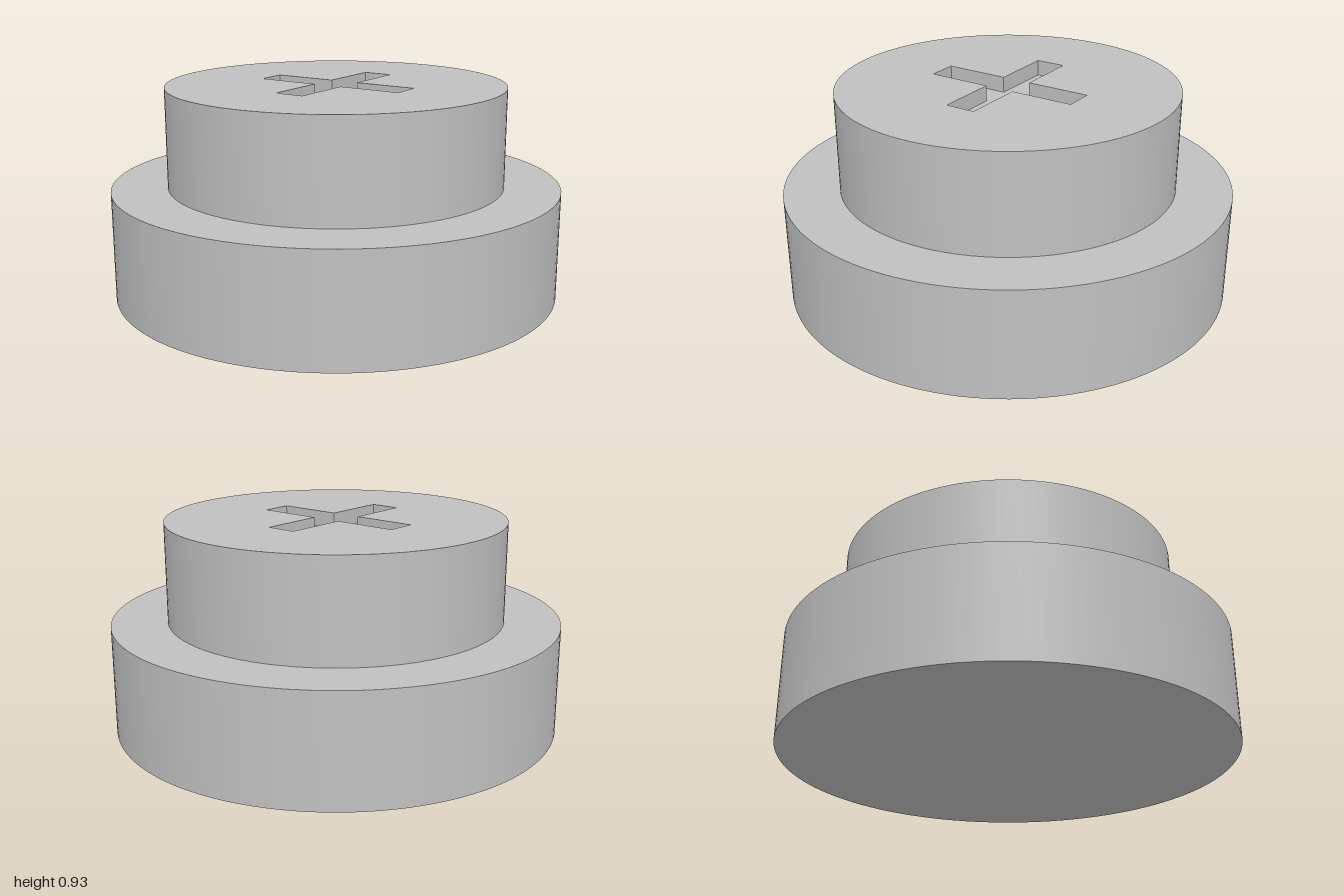
import * as THREE from 'three';
import { toCreasedNormals } from 'three/addons/utils/BufferGeometryUtils.js';

const BASE_R = 1, BASE_H = 0.485;
const BOSS_R = 0.753, TOP = 0.93;
const ARM = 0.356, HALF = 0.067, DEPTH = 0.07;

// Outline of the plus-shaped recess, one arm at a time
function crossPoints() {
  const points = [];
  for (let i = 0; i < 4; i++) {
    const turn = (i * Math.PI) / 2;
    for (const [x, y] of [[ARM, -HALF], [ARM, HALF], [HALF, HALF]]) {
      points.push(new THREE.Vector2(x, y).rotateAround(new THREE.Vector2(), turn));
    }
  }
  return points;
}

export function createModel() {
  const group = new THREE.Group();
  const grey = new THREE.MeshStandardMaterial({ color: 0xc0c0c0 });
  grey.name = 'light grey';

  const add = (name, geometry, y) => {
    const mesh = new THREE.Mesh(geometry, grey);
    mesh.name = name;
    mesh.position.y = y;
    group.add(mesh);
  };

  // Wide disc at the bottom
  add('base', new THREE.CylinderGeometry(BASE_R, BASE_R, BASE_H, 128), BASE_H / 2);

  // Narrower raised disc, cut through by the cross
  const disc = new THREE.Shape();
  disc.absarc(0, 0, BOSS_R, 0, Math.PI * 2, false);
  disc.holes.push(new THREE.Path(crossPoints().reverse()));
  const boss = new THREE.ExtrudeGeometry(disc, {
    depth: TOP - BASE_H, bevelEnabled: false, curveSegments: 64,
  }).rotateX(-Math.PI / 2);
  add('boss', toCreasedNormals(boss, 0.5), BASE_H);

  // Floor of the cross recess
  const floor = new THREE.ShapeGeometry(new THREE.Shape(crossPoints())).rotateX(-Math.PI / 2);
  add('recessFloor', floor, TOP - DEPTH);

  return group;
}
